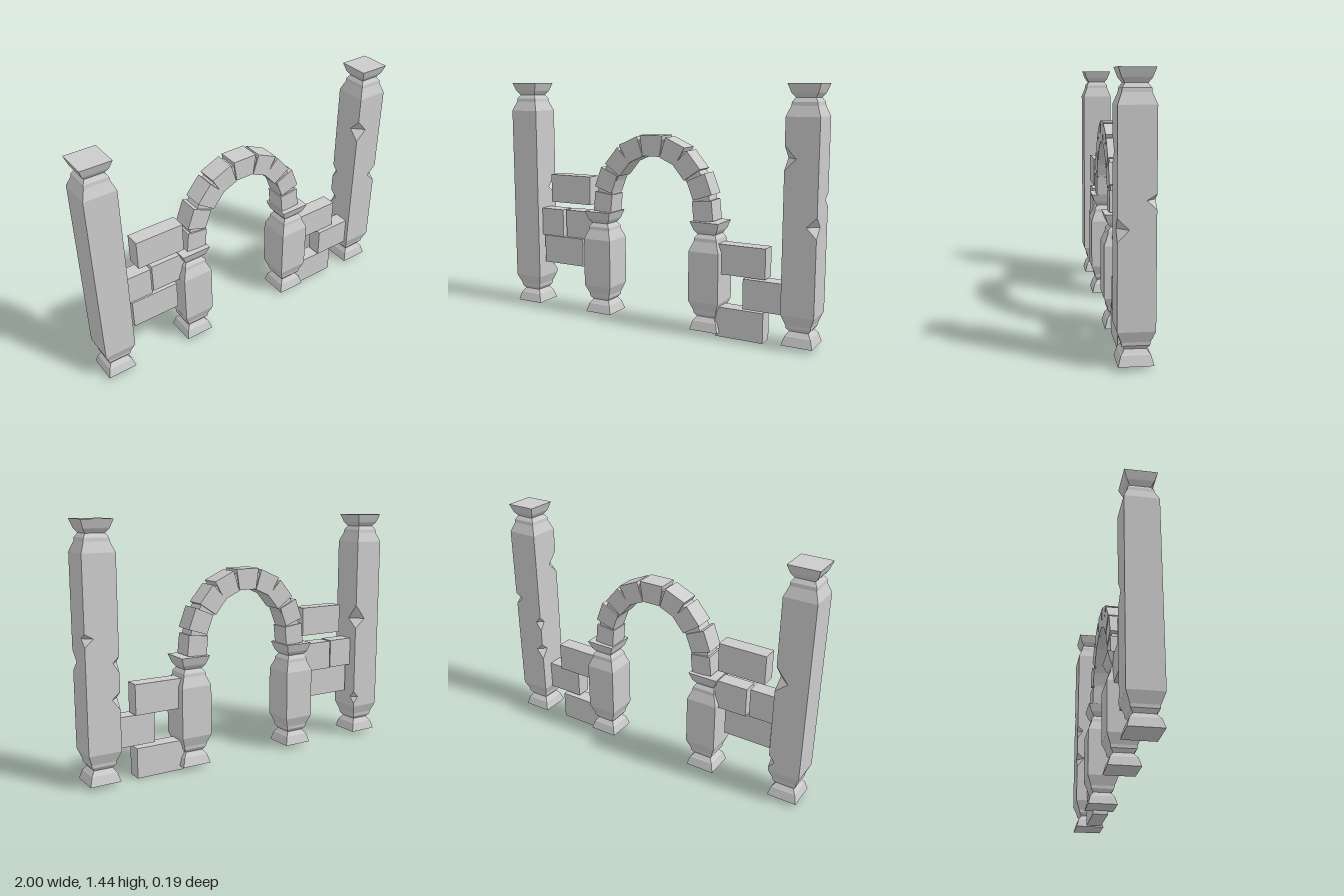
import * as THREE from 'three';

const stone = new THREE.MeshStandardMaterial({ color: 0xcccccc, flatShading: true });
const HALF = 0.093; // half width of a pillar shaft
const SHAFT_BOTTOM = 0.197;

// half width, height: moulded foot of a pillar
const FOOT = [[0, 0.024], [0.088, 0.024], [0.073, 0.076], [0.069, 0.08], [0.054, 0.102],
  [0.069, 0.122], [0.071, 0.14], [HALF, SHAFT_BOTTOM]];
// half width, height above the shaft: moulded head of a pillar
const HEAD = [[HALF, 0], [0.071, 0.056], [0.069, 0.076], [0.054, 0.098], [0.071, 0.121],
  [0.073, 0.125], [0.089, 0.171], [0, 0.171]];

function addMesh(parent, name, geometry, x = 0, y = 0, z = 0, turn = 0) {
  const mesh = new THREE.Mesh(geometry, stone);
  mesh.name = name;
  mesh.position.set(x, y, z);
  mesh.rotation.z = turn;
  parent.add(mesh);
  return mesh;
}

// square moulding swept from a half-width profile
function moulding(profile) {
  const points = profile.map(([w, y]) => new THREE.Vector2(w * Math.SQRT2, y));
  return new THREE.LatheGeometry(points, 4).rotateY(Math.PI / 4);
}

// chips: { corner, y, up, down, depth }, corner 0..3 = front left, back left, back right, front right
function pillar(name, x, shaftTop, chips = []) {
  const group = new THREE.Group();
  group.name = name;
  group.position.x = x;
  addMesh(group, 'foot', moulding(FOOT));
  addMesh(group, 'head', moulding(HEAD), 0, shaftTop);

  for (let side = 0; side < 4; side++) {
    const onCorner = (c) => chips.filter((chip) => chip.corner === c).sort((a, b) => a.y - b.y);
    const right = onCorner(side);
    const left = onCorner((side + 3) % 4).reverse();

    // shaft face, outlined around the chipped edges
    const outline = [[-HALF, SHAFT_BOTTOM], [HALF, SHAFT_BOTTOM]];
    for (const c of right) outline.push([HALF, c.y - c.down], [HALF - c.depth, c.y], [HALF, c.y + c.up]);
    outline.push([HALF, shaftTop], [-HALF, shaftTop]);
    for (const c of left) outline.push([-HALF, c.y + c.up], [-HALF + c.depth, c.y], [-HALF, c.y - c.down]);
    const face = new THREE.ShapeGeometry(new THREE.Shape(outline.map((p) => new THREE.Vector2(...p))));
    face.translate(0, 0, HALF).rotateY(side * Math.PI / 2);
    addMesh(group, 'shaftFace', face);

    // two sloping facets inside every chip
    for (const c of right) {
      const top = [HALF, c.y + c.up, HALF], bottom = [HALF, c.y - c.down, HALF];
      const a = [HALF - c.depth, c.y, HALF], b = [HALF, c.y, HALF - c.depth];
      const facets = new THREE.BufferGeometry();
      facets.setAttribute('position', new THREE.Float32BufferAttribute(
        [top, a, b, bottom, b, a].flat(), 3));
      facets.computeVertexNormals();
      facets.rotateY(side * Math.PI / 2);
      addMesh(group, 'chip', facets);
    }
  }
  return group;
}

// wedge-shaped arch stone, wider on its outer side
function wedge(outer, inner, height, depth) {
  const o = outer / 2, i = inner / 2, h = height / 2;
  const shape = new THREE.Shape([[-i, -h], [i, -h], [o, h], [-o, h]].map((p) => new THREE.Vector2(...p)));
  return new THREE.ExtrudeGeometry(shape, { depth, bevelEnabled: false }).translate(0, 0, -depth / 2);
}

function arch() {
  const group = new THREE.Group();
  group.name = 'arch';
  group.position.set(-0.011, 0, -0.004);
  // offset from the middle, height, tilt in degrees, outer length, inner length
  const half = [
    [0.335, 0.718, 84, 0.118, 0.116],
    [0.311, 0.853, 69, 0.128, 0.116],
    [0.228, 0.967, 50, 0.132, 0.108],
    [0.132, 1.045, 24, 0.134, 0.108],
    [0, 1.076, 0, 0.15, 0.112],
  ];
  for (const side of [-1, 1]) {
    half.forEach(([x, y, tilt, outer, inner], i) => {
      const turn = -side * THREE.MathUtils.degToRad(tilt);
      if (i < 4 || side === 1) {
        addMesh(group, i < 4 ? 'archStone' : 'keystone', wedge(outer, inner, 0.122, 0.122), side * x, y, 0, turn);
      }
      if (i === 4) return;
      // recessed mortar joint to the next stone
      const [nx, ny, nTilt] = half[i + 1];
      const jointTurn = -side * THREE.MathUtils.degToRad((tilt + nTilt) / 2);
      addMesh(group, 'joint', new THREE.BoxGeometry(0.07, 0.1, 0.104),
        side * (x + nx) / 2, (y + ny) / 2, 0, jointTurn);
    });
  }
  return group;
}

export function createModel() {
  const model = new THREE.Group();
  model.name = 'ruinedArchway';

  // tall outer pillars with chipped edges
  model.add(pillar('leftTallPillar', 0.907, 1.264, [
    { corner: 3, y: 1.045, up: 0.07, down: 0.065, depth: 0.064 },
    { corner: 0, y: 0.688, up: 0.056, down: 0.058, depth: 0.057 },
    { corner: 1, y: 0.825, up: 0.029, down: 0.043, depth: 0.048 },
    { corner: 2, y: 0.685, up: 0.035, down: 0.055, depth: 0.035 },
    { corner: 2, y: 0.487, up: 0.04, down: 0.06, depth: 0.045 },
  ]));
  model.add(pillar('rightTallPillar', -0.907, 1.264, [
    { corner: 1, y: 0.775, up: 0.09, down: 0.06, depth: 0.07 },
    { corner: 1, y: 0.26, up: 0.04, down: 0.04, depth: 0.035 },
  ]));

  // short pillars carrying the arch
  model.add(pillar('leftArchPillar', 0.349, 0.489));
  model.add(pillar('rightArchPillar', -0.371, 0.489));
  model.add(arch());

  // remains of the wall: centre x, bottom y, centre z
  const bricks = [
    [-0.583, 0.695, 0.014], [-0.797, 0.472, 0.003], [-0.491, 0.472, -0.01], [-0.643, 0.3, 0.014],
    [0.56, 0.366, 0.001], [0.728, 0.188, 0.023], [0.555, 0, 0.007],
  ];
  for (const [x, y, z] of bricks) {
    addMesh(model, 'wallBrick', new THREE.BoxGeometry(0.29, 0.174, 0.092), x, y + 0.087, z);
  }
  return model;
}
